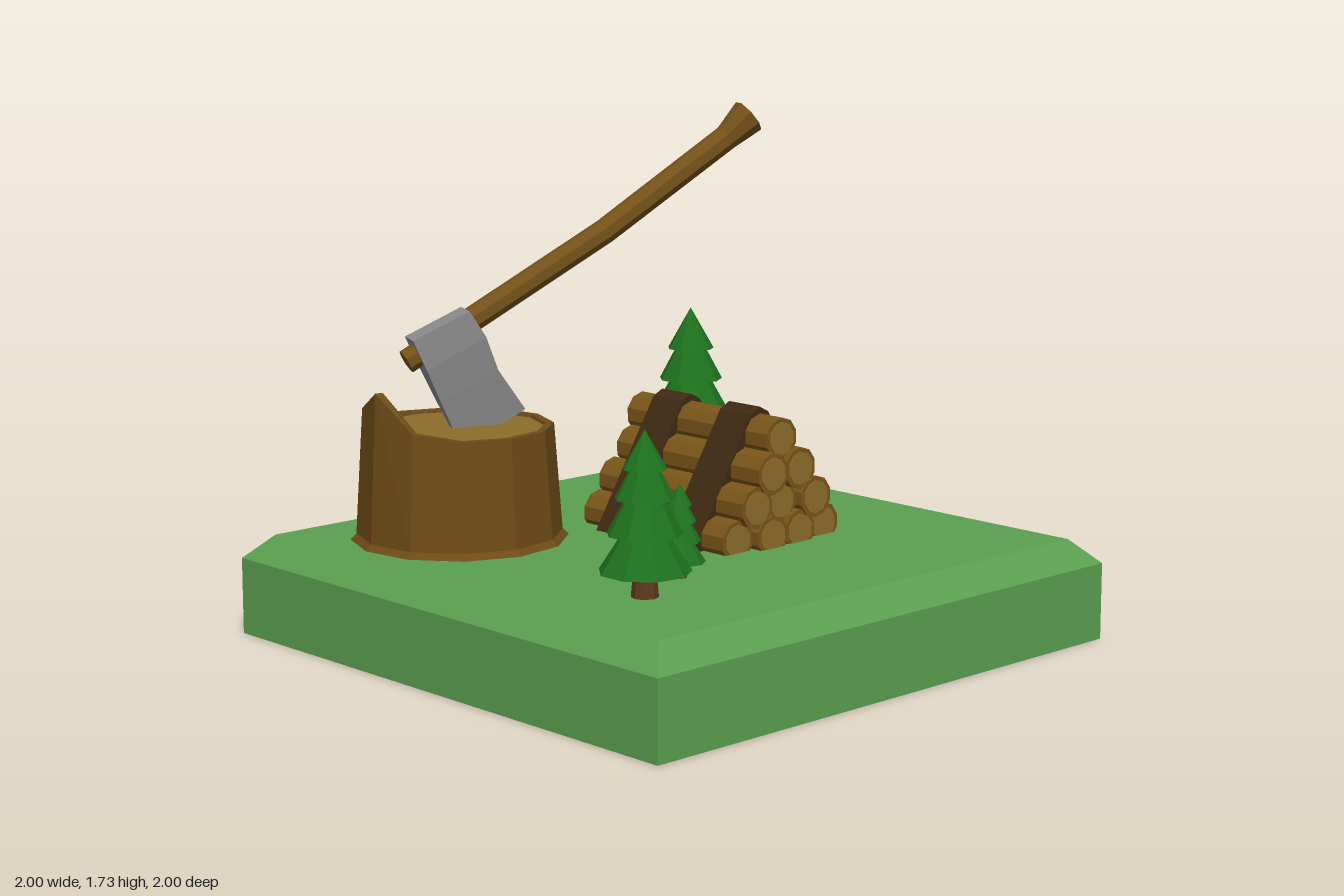
import * as THREE from 'three';

const COLORS = {
  grass: 0x5ba050, bark: 0x6e4b17, log: 0x7a5519, cut: 0x8c6e2b, strap: 0x3f2a12,
  handle: 0x76521a, steel: 0x8c8c8c, needles: 0x1e721e, trunk: 0x5e3a1e,
};
const mats = {};
for (const key in COLORS) mats[key] = new THREE.MeshStandardMaterial({ color: COLORS[key], flatShading: true });
mats.grass.side = THREE.DoubleSide;

function add(parent, name, geometry, mat, x = 0, y = 0, z = 0) {
  const mesh = new THREE.Mesh(geometry, mat);
  mesh.name = name;
  mesh.position.set(x, y, z);
  parent.add(mesh);
  return mesh;
}

function lathe(points, sides, start = 0) {
  return new THREE.LatheGeometry(points.map(p => new THREE.Vector2(...p)), sides, start);
}

// Capped skin over a list of rings with equal point counts
function loft(rings) {
  const n = rings[0].length, last = (rings.length - 1) * n, index = [];
  for (let i = 0; i < rings.length - 1; i++) {
    for (let j = 0; j < n; j++) {
      const a = i * n + j, b = i * n + (j + 1) % n;
      index.push(a, b, a + n, b, b + n, a + n);
    }
  }
  for (let j = 1; j < n - 1; j++) index.push(0, j + 1, j, last, last + j, last + j + 1);
  const g = new THREE.BufferGeometry();
  g.setAttribute('position', new THREE.Float32BufferAttribute(rings.flat(2), 3));
  g.setIndex(index);
  g.computeVertexNormals();
  return g;
}

// Square ground block, bevelled on top and open underneath
function makeGround(parent) {
  const q = Math.SQRT2;
  add(parent, 'ground', lathe([[q, 0], [q, 0.255], [0.92 * q, 0.335], [0, 0.335]], 4, Math.PI / 4), mats.grass);
}

// Stump with a flared foot and a splintered stretch of rim
function makeStump(parent) {
  const start = 0.4, sides = 12, step = Math.PI * 2 / sides;
  const g = lathe([[0, 0.31], [0.36, 0.31], [0.358, 0.335], [0.338, 0.355], [0.312, 0.71], [0.285, 0.71], [0.275, 0.68]], sides, start);
  const raise = { 6: 0.015, 7: 0.06, 8: 0.135, 9: 0.02 };
  const p = g.attributes.position;
  for (let i = 0; i < p.count; i++) {
    if (p.getY(i) < 0.7) continue;
    const k = Math.round((Math.atan2(p.getX(i), p.getZ(i)) - start) / step + sides) % sides;
    p.setY(i, p.getY(i) + (raise[k] || 0));
  }
  const stump = new THREE.Group();
  stump.name = 'stump';
  stump.position.set(-0.497, 0, -0.48);
  add(stump, 'stumpBark', g, mats.bark);
  add(stump, 'stumpTop', new THREE.CylinderGeometry(0.284, 0.284, 0.02, sides, 1, false, start), mats.cut, 0, 0.69, 0);
  parent.add(stump);
}

// Axe, built in the plane of its handle and then turned
function makeAxe(parent) {
  const axe = new THREE.Group();
  axe.name = 'axe';
  axe.position.set(-0.65, 0, -0.555);
  axe.rotation.y = -0.4;

  // distance along, height, slope, radius
  const path = [
    [0, 0.925, 0.51, 0.04], [0.22, 1.05, 0.53, 0.042], [0.68, 1.32, 0.57, 0.042],
    [1.11, 1.615, 0.62, 0.043], [1.19, 1.685, 0.68, 0.062],
  ];
  add(axe, 'axeHandle', loft(path.map(([u, y, a, r]) => Array.from({ length: 8 }, (_, j) => {
    const t = (j + 0.5) * Math.PI / 4, c = r * Math.cos(t);
    return [u - Math.sin(a) * c, y + Math.cos(a) * c, r * Math.sin(t)];
  }))), mats.handle);

  // rear point, front point, half thickness, from the eye down to the edge
  const sections = [
    [0.01, 1.0, 0.2, 1.087, 0.05], [0.055, 0.9, 0.255, 1.0, 0.05],
    [0.105, 0.79, 0.3, 0.885, 0.034], [0.185, 0.62, 0.4, 0.745, 0.006],
  ];
  add(axe, 'axeHead', loft(sections.map(([u0, y0, u1, y1, w]) =>
    [[u1, y1, -w], [u1, y1, w], [u0, y0, w], [u0, y0, -w]])), mats.steel);
  parent.add(axe);
}

// Pyramid of logs held by two straps
function makeWoodpile(parent) {
  const pile = new THREE.Group();
  pile.name = 'woodpile';
  const rows = [4, 3, 2, 1];
  rows.forEach((count, row) => {
    for (let i = 0; i < count; i++) {
      const log = new THREE.Group();
      log.name = 'log';
      log.position.set(0.193 + (i - (count - 1) / 2) * 0.132, 0.373 + row * 0.103, ((i * 2 + row) % 3 - 1) * 0.012);
      log.rotation.x = Math.PI / 2;
      const length = 0.66 + ((i + row * 2) % 3) * 0.01;
      add(log, 'logBark', new THREE.CylinderGeometry(0.07, 0.07, length, 10), mats.log);
      add(log, 'logCore', new THREE.CylinderGeometry(0.055, 0.055, length + 0.006, 10), mats.cut);
      pile.add(log);
    }
  });

  const half = [[0.32, 0.305], [0.04, 0.755], [0, 0.775]];
  const inner = [[0, 0.735], [0.03, 0.72], [0.265, 0.305]];
  const mirror = pts => pts.map(([x, y]) => [-x, y]).reverse();
  const outline = [...half, ...mirror(half).slice(1), ...mirror(inner), ...inner.slice(1)];
  const shape = new THREE.Shape(outline.map(p => new THREE.Vector2(...p)));
  for (const z of [-0.24, 0.08]) {
    add(pile, 'strap', new THREE.ExtrudeGeometry(shape, { depth: 0.14, bevelEnabled: false }), mats.strap, 0.19, 0, z);
  }
  parent.add(pile);
}

// Fir tree with four overlapping skirts
function makeTree(parent, x, z, base, scale) {
  const tree = new THREE.Group();
  tree.name = 'tree';
  tree.position.set(x, 0, z);
  const skirts = lathe([
    [0, 0.06], [0.174, 0.01], [0.075, 0.165], [0.143, 0.15], [0.06, 0.3],
    [0.112, 0.28], [0.043, 0.41], [0.082, 0.39], [0, 0.535],
  ], 9, 0.2).scale(scale, scale, scale);
  add(tree, 'needles', skirts, mats.needles, 0, base, 0);
  const height = base + 0.08 * scale - 0.3;
  add(tree, 'trunk', new THREE.CylinderGeometry(0.037 * scale, 0.055 * scale, height, 8), mats.trunk, 0, 0.3 + height / 2, 0);
  parent.add(tree);
}

export function createModel() {
  const model = new THREE.Group();
  model.name = 'woodcuttingScene';
  makeGround(model);
  makeStump(model);
  makeAxe(model);
  makeWoodpile(model);
  makeTree(model, 0.655, -0.585, 0.43, 1);
  makeTree(model, -0.605, 0.525, 0.405, 0.83);
  makeTree(model, -0.36, 0.42, 0.38, 0.47);
  return model;
}
